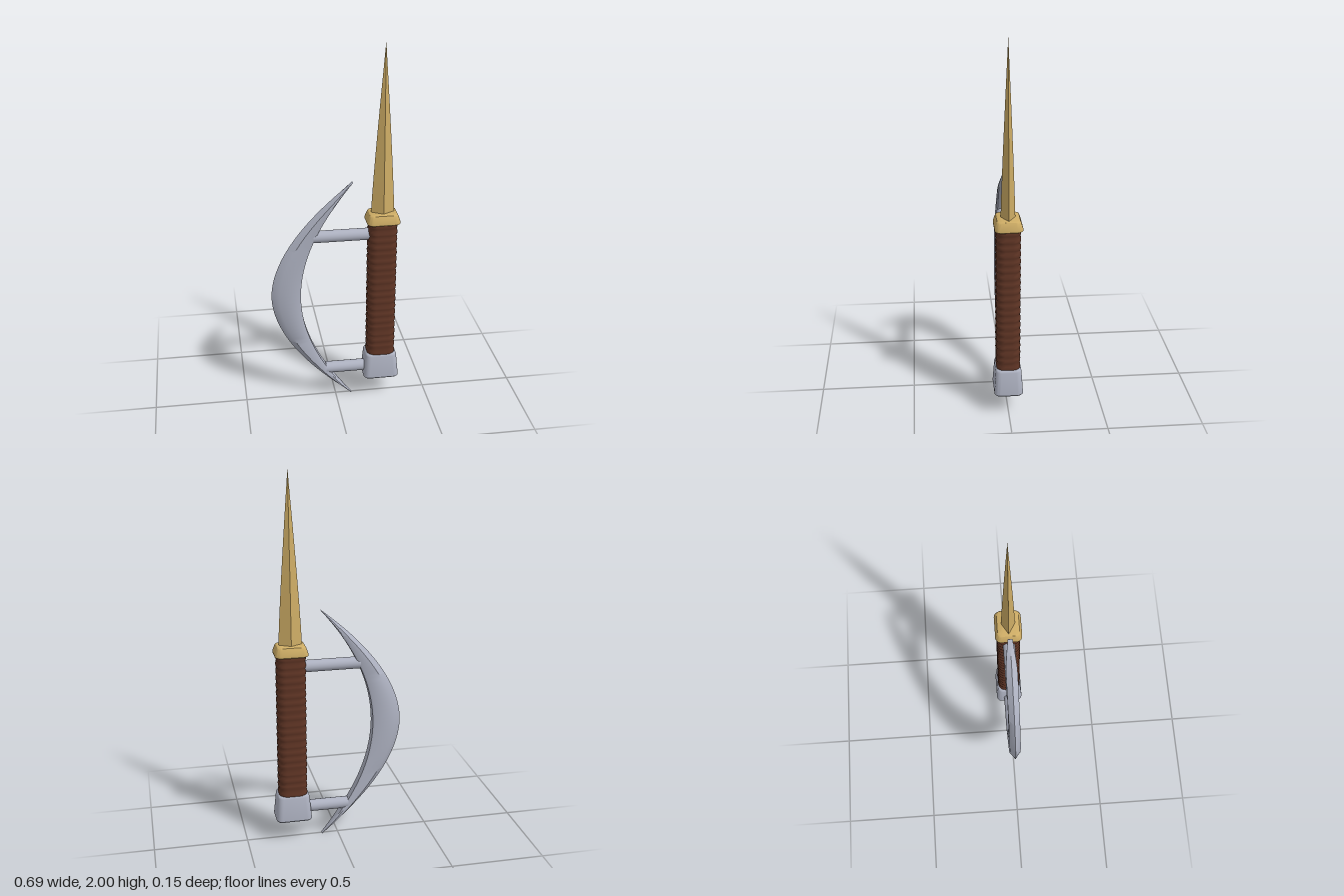
import * as THREE from 'three';
import { toCreasedNormals } from 'three/addons/utils/BufferGeometryUtils.js';

const steel = new THREE.MeshStandardMaterial({ name: 'steel', color: 0xadb1c0 });
const brass = new THREE.MeshStandardMaterial({ name: 'brass', color: 0xcdac65 });
const leather = new THREE.MeshStandardMaterial({ name: 'leather', color: 0x5e3424 });

const AXIS_X = 0.248; // handle axis

// Skin a stack of equal-length rings (running +x to +z, bottom to top) and cap both ends
function loft(rings, crease) {
  const n = rings[0].length, last = (rings.length - 1) * n, index = [];
  for (let i = 0; i < rings.length - 1; i++) {
    for (let j = 0; j < n; j++) {
      const a = i * n + j, b = i * n + (j + 1) % n;
      index.push(a, a + n, b, b, a + n, b + n);
    }
  }
  for (let j = 1; j < n - 1; j++) {
    index.push(0, j, j + 1, last, last + j + 1, last + j);
  }
  const geo = new THREE.BufferGeometry();
  geo.setAttribute('position', new THREE.Float32BufferAttribute(rings.flat(2), 3));
  geo.setIndex(index);
  return toCreasedNormals(geo, crease);
}

// Horizontal rounded rectangle
function roundedRing(y, hx, hz, r, steps = 6) {
  const ring = [];
  for (let q = 0; q < 4; q++) {
    const sx = q === 0 || q === 3 ? 1 : -1, sz = q < 2 ? 1 : -1;
    for (let k = 0; k <= steps; k++) {
      const a = (q + k / steps) * Math.PI / 2;
      ring.push([sx * (hx - r) + r * Math.cos(a), y, sz * (hz - r) + r * Math.sin(a)]);
    }
  }
  return ring;
}

function add(parent, name, geometry, material, x = 0, y = 0) {
  const mesh = new THREE.Mesh(geometry, material);
  mesh.name = name;
  mesh.position.set(x, y, 0);
  parent.add(mesh);
  return mesh;
}

// Crescent: sharp outer ridge, bevelled cheeks, chamfered inner face
function crescentGeometry() {
  const rings = [], steps = 56;
  for (let i = 0; i <= steps; i++) {
    const t = -1 + 2 * i / steps, s = Math.abs(t);
    const outer = -0.345 + 0.43 * s ** 1.87;
    const inner = -0.19 + 0.275 * s ** 2 + 0.004 * s;
    const w = inner - outer, y = 0.642 + 0.637 * t;
    const hz = 0.03 - 0.021 * THREE.MathUtils.smoothstep(s, 0.78, 1.08);
    const bevel = outer + w * (0.25 + 0.35 * s * s);
    const chamfer = inner - Math.min(0.01, w * 0.15);
    rings.push([
      [inner, y, hz * 0.8], [chamfer, y, hz], [bevel, y, hz], [outer, y, 0],
      [bevel, y, -hz], [chamfer, y, -hz], [inner, y, -hz * 0.8],
    ]);
  }
  return loft(rings, 0.75);
}

export function createModel() {
  const model = new THREE.Group();
  model.name = 'crescentDagger';

  // Four-sided spike, slightly swollen along its length
  const spike = [];
  for (let i = 0; i <= 8; i++) {
    const u = i / 8, k = Math.max(0.004, 1 - u ** 1.18);
    const y = 1.09 + 0.91 * u, hx = 0.062 * k, hz = 0.037 * k;
    spike.push([[hx, y, 0], [0, y, hz], [-hx, y, 0], [0, y, -hz]]);
  }
  add(model, 'spike', loft(spike, 0.4), brass, AXIS_X);

  // Flared guard under the spike
  const guard = [
    [1.05, 0.08, 0.064, 0.026], [1.055, 0.087, 0.071, 0.03], [1.066, 0.087, 0.071, 0.03],
    [1.095, 0.077, 0.062, 0.026], [1.103, 0.073, 0.058, 0.024], [1.106, 0.066, 0.051, 0.02],
  ].map(p => roundedRing(...p));
  add(model, 'guard', loft(guard, 0.7), brass, AXIS_X);

  // Grip with wrapped leather ridges
  const grip = [], wraps = 20;
  for (let i = 0; i <= wraps * 4; i++) {
    const swell = 0.004 * Math.abs(Math.sin(i / 4 * Math.PI));
    grip.push(roundedRing(0.26 + 0.8 * i / (wraps * 4), 0.073 + swell, 0.059 + swell, 0.042));
  }
  add(model, 'grip', loft(grip, 0.9), leather, AXIS_X);

  // Tapered pommel block
  const pommel = [
    [0.123, 0.09, 0.068, 0.025], [0.13, 0.096, 0.075, 0.03], [0.14, 0.096, 0.075, 0.03],
    [0.258, 0.085, 0.067, 0.028], [0.267, 0.082, 0.064, 0.027], [0.271, 0.076, 0.058, 0.024],
  ].map(p => roundedRing(...p));
  add(model, 'pommel', loft(pommel, 0.7), steel, AXIS_X);

  // Knuckle crescent and the two bars holding it
  add(model, 'crescentBlade', crescentGeometry(), steel);
  for (const [name, x0, x1, y] of [['upperBar', -0.12, 0.2, 0.983], ['lowerBar', -0.055, 0.19, 0.178]]) {
    const bar = new THREE.CylinderGeometry(0.032, 0.032, x1 - x0, 24);
    bar.rotateZ(Math.PI / 2);
    add(model, name, bar, steel, (x0 + x1) / 2, y);
  }
  return model;
}
